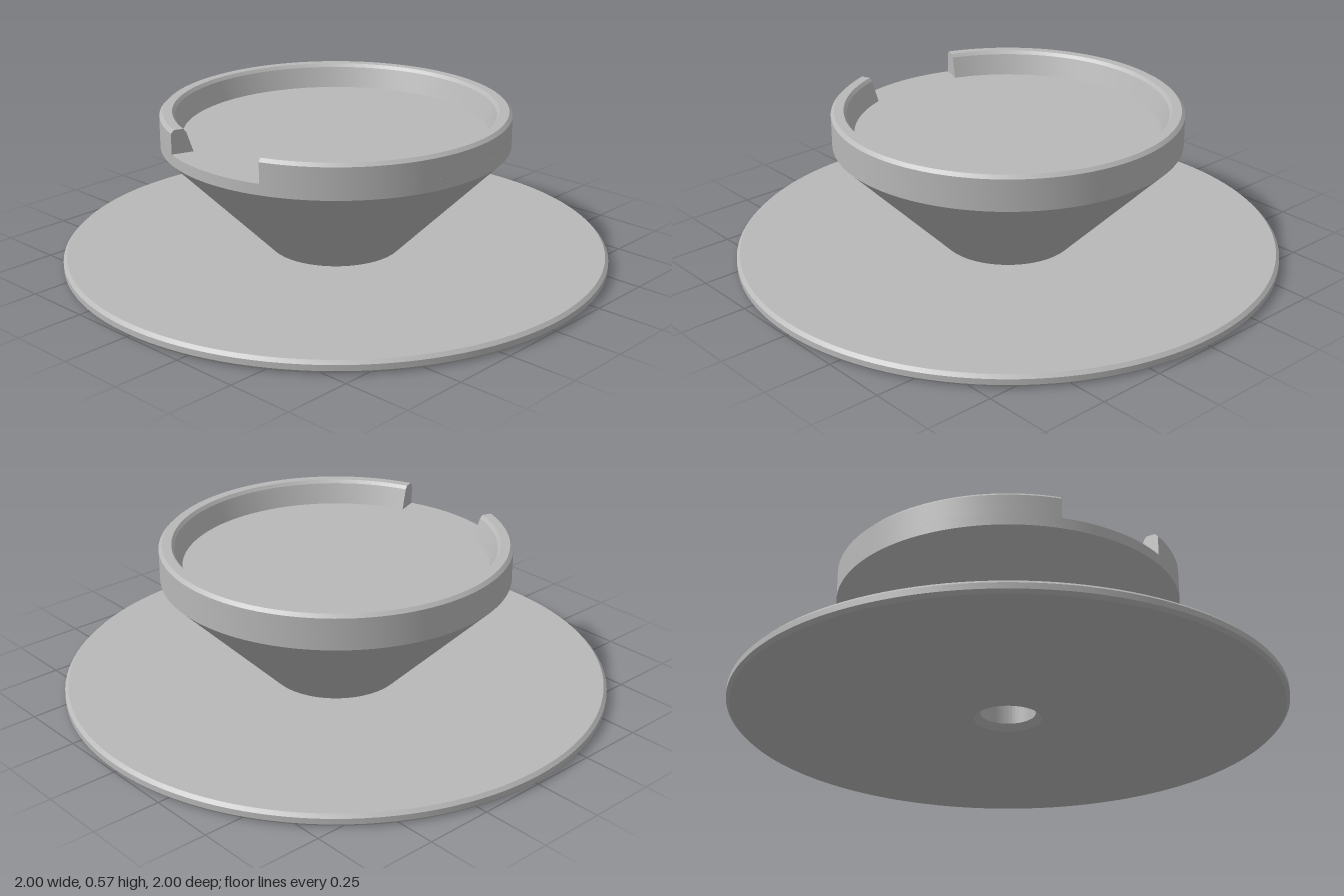
import * as THREE from 'three';
import { toCreasedNormals } from 'three/addons/utils/BufferGeometryUtils.js';

const SEGMENTS = 128;

export function createModel() {
  const group = new THREE.Group();
  const grey = new THREE.MeshStandardMaterial({ color: 0xb8b8b8 });
  grey.name = 'plain grey';

  const add = (name, geometry) => {
    const mesh = new THREE.Mesh(geometry, grey);
    mesh.name = name;
    group.add(mesh);
  };
  const toPoints = (list) => list.map(([r, y]) => new THREE.Vector2(r, y));
  // Turned part from [radius, height] pairs, with sharp profile corners
  const turned = (list, start = 0, sweep = Math.PI * 2) =>
    toCreasedNormals(new THREE.LatheGeometry(toPoints(list), SEGMENTS, start, sweep), 0.3);

  // Blind hole with a countersunk mouth in the underside
  add('centreHole', turned([[0, 0.36], [0.1, 0.36], [0.1, 0.022], [0.122, 0]]));

  // Wide thin disc with chamfered edges
  add('baseDisc', turned([
    [0.122, 0], [0.988, 0], [1, 0.012], [1, 0.033], [0.988, 0.045], [0.243, 0.045],
  ]));

  // Flaring stem and the flat tray it carries
  add('conicalStem', turned([[0.243, 0.045], [0.634, 0.44]]));
  add('tray', turned([[0.634, 0.44], [0.634, 0.48], [0, 0.48]]));

  // Raised rim with a sloped inner wall, open for 40 degrees on the -x side
  const rimProfile = [[0.634, 0.48], [0.634, 0.555], [0.622, 0.567], [0.588, 0.567], [0.578, 0.555], [0.553, 0.48]];
  const halfGap = THREE.MathUtils.degToRad(20);
  const start = Math.PI * 1.5 + halfGap;
  const sweep = Math.PI * 2 - 2 * halfGap;
  add('rim', turned(rimProfile, start, sweep));

  // Flat end faces of the rim
  [start, start + sweep].forEach((angle, i) => {
    const cap = new THREE.ShapeGeometry(new THREE.Shape(toPoints(rimProfile)));
    if (i === 1) {
      cap.index.array.reverse();
      cap.computeVertexNormals();
    }
    cap.rotateY(angle - Math.PI / 2);
    add(i ? 'rimEndFront' : 'rimEndBack', cap);
  });

  return group;
}
